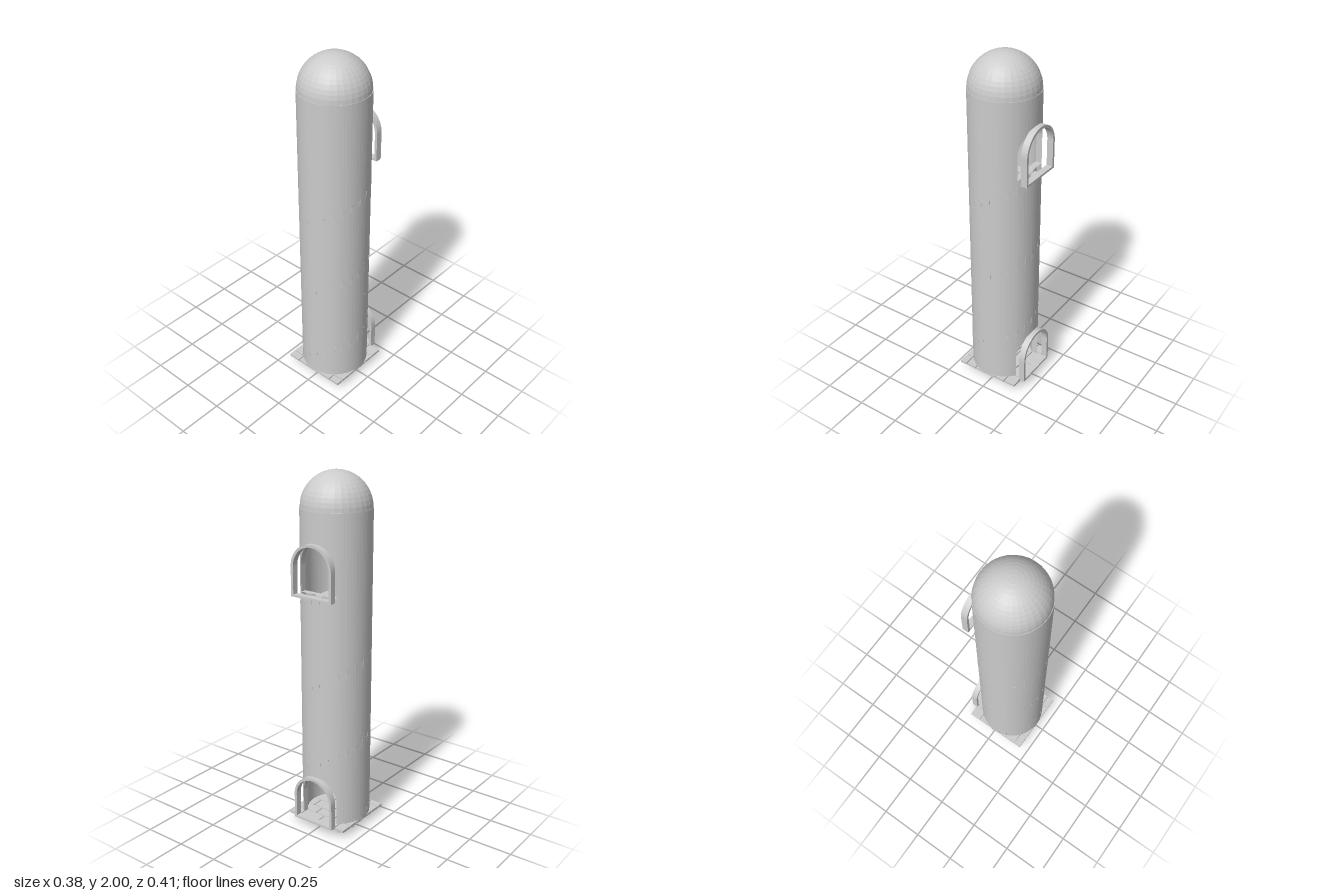
import * as THREE from 'three';

const CZ = 0.012;                 // tower axis
const R = 0.192, R_IN = 0.165;    // wall radii
const BASE = 0.045, SPRING = 1.81;
const HALF = 0.115, FRAME = 0.13; // doorway half width, frame half width
const DOORS = [{ sill: 0.05, spring: 0.2 }, { sill: 1.36, spring: 1.52 }];

const flat = new THREE.MeshStandardMaterial({ color: 0xcccccc, flatShading: true });
const flatDouble = new THREE.MeshStandardMaterial({ color: 0xcccccc, flatShading: true, side: THREE.DoubleSide });

function add(parent, name, geometry, material = flat) {
  const mesh = new THREE.Mesh(geometry, material);
  mesh.name = name;
  parent.add(mesh);
  return mesh;
}

// Collects quads given counter-clockwise from outside
function quadGeometry(quads) {
  const pos = [];
  for (const [a, b, c, d] of quads) pos.push(...a, ...b, ...c, ...a, ...c, ...d);
  const g = new THREE.BufferGeometry();
  g.setAttribute('position', new THREE.Float32BufferAttribute(pos, 3));
  g.computeVertexNormals();
  return g;
}

// Door columns spaced so the arch curve is even
const doorX = Array.from({ length: 17 }, (_, i) => -HALF * Math.cos((i / 16) * Math.PI));
const archTop = (door, x) => door.spring + Math.sqrt(Math.max(0, HALF * HALF - x * x));
const openingBottom = (i) => (i === 0 ? BASE : DOORS[1].sill + 0.012);
const onBack = (r, x, y) => [x, y, CZ - Math.sqrt(r * r - x * x)];

// Cylindrical wall with two arched openings at the back
function shell(r) {
  const quads = [];
  const a0 = Math.asin(HALF / r), n = 52;
  const at = (a, y) => [-r * Math.sin(a), y, CZ - r * Math.cos(a)];
  for (let i = 0; i < n; i++) {
    const a = a0 + ((2 * Math.PI - 2 * a0) * i) / n;
    const b = a0 + ((2 * Math.PI - 2 * a0) * (i + 1)) / n;
    quads.push([at(a, BASE), at(b, BASE), at(b, SPRING), at(a, SPRING)]);
  }
  for (let i = 0; i < 16; i++) {
    const x0 = doorX[i], x1 = doorX[i + 1];
    DOORS.forEach((door, k) => {
      const top = k === 0 ? openingBottom(1) : SPRING;
      quads.push([onBack(r, x1, archTop(door, x1)), onBack(r, x0, archTop(door, x0)),
        onBack(r, x0, top), onBack(r, x1, top)]);
    });
  }
  return quadGeometry(quads);
}

// Lining of an opening between the outer and inner wall faces
function reveal(door, k) {
  const bottom = openingBottom(k);
  const path = [[-HALF, bottom], ...doorX.map((x) => [x, archTop(door, x)]), [HALF, bottom]];
  if (k === 1) path.push([-HALF, bottom]);
  const quads = [];
  for (let i = 0; i + 1 < path.length; i++) {
    const [p, q] = [path[i], path[i + 1]];
    quads.push([onBack(R, ...p), onBack(R, ...q), onBack(R_IN, ...q), onBack(R_IN, ...p)]);
  }
  return quadGeometry(quads);
}

function archOutline(path, half, bottom, spring) {
  path.moveTo(-half, bottom);
  path.lineTo(half, bottom);
  path.lineTo(half, spring);
  path.absarc(0, spring, half, 0, Math.PI, false);
  path.lineTo(-half, bottom);
  return path;
}

export function createModel() {
  const model = new THREE.Group();
  model.name = 'tower';

  // Tower wall and dome
  add(model, 'outerWall', shell(R), flatDouble);
  add(model, 'innerWall', shell(R_IN), flatDouble);
  const dome = add(model, 'dome',
    new THREE.SphereGeometry(0.19, 32, 12, 0, Math.PI * 2, 0, Math.PI / 2), flatDouble);
  dome.position.set(0, SPRING, CZ);
  const rim = add(model, 'wallTop', new THREE.RingGeometry(R_IN, R, 64), flatDouble);
  rim.rotation.x = -Math.PI / 2;
  rim.position.set(0, SPRING, CZ);

  // Doorways: wall lining and projecting frame with a sill
  DOORS.forEach((door, k) => {
    add(model, 'doorLining', reveal(door, k), flatDouble);
    const shape = archOutline(new THREE.Shape(), FRAME, door.sill, door.spring);
    shape.holes.push(archOutline(new THREE.Path(), HALF, door.sill + 0.012, door.spring));
    const frame = add(model, 'doorFrame',
      new THREE.ExtrudeGeometry(shape, { depth: 0.036, bevelEnabled: false, curveSegments: 16 }));
    frame.position.z = -0.208;
  });

  // Spiral stair climbing from below the floor to the upper door
  const stairs = new THREE.Group();
  stairs.name = 'spiralStairs';
  stairs.position.z = CZ;
  model.add(stairs);
  const perTurn = 24, rise = 0.0194, inner = 0.05, outer = 0.1915;
  const stepGeometry = new THREE.BoxGeometry(0.05, 0.03, outer - inner);
  stepGeometry.translate(0, 0.015, -(inner + outer) / 2);
  for (let i = 0; i < 70; i++) {
    const step = add(stairs, 'step', stepGeometry);
    step.position.y = i * rise;
    step.rotation.y = 0.82 + (i * 2 * Math.PI) / perTurn;
  }

  // Floor slabs laid in staggered rows
  const floor = new THREE.Group();
  floor.name = 'floor';
  model.add(floor);
  const rows = [-0.181, -0.108, -0.047, 0.023, 0.094, 0.161, 0.205];
  const joints = [
    [-0.192, -0.129, -0.01, 0.117, 0.192],
    [-0.192, -0.07, 0.055, 0.192],
  ];
  const lastRow = [-0.192, -0.115, -0.046, 0.04, 0.125, 0.192];
  for (let r = 0; r < 6; r++) {
    const cuts = r === 5 ? lastRow : joints[r % 2];
    for (let c = 0; c + 1 < cuts.length; c++) {
      const slab = add(floor, 'floorSlab',
        new THREE.BoxGeometry(cuts[c + 1] - cuts[c] - 0.005, 0.014, rows[r + 1] - rows[r] - 0.005));
      slab.position.set((cuts[c] + cuts[c + 1]) / 2, 0.049, (rows[r] + rows[r + 1]) / 2);
    }
  }

  // Small slit blocks in the wall: height and direction (x, z)
  const slits = [[0.28, -1, -0.3], [0.57, 1, -0.2], [0.8, -1, 0.2], [1.02, 1, 0.25], [1.22, -1, -0.3], [1.45, 1, 0.95]];
  for (const [y, x, z] of slits) {
    const slit = add(model, 'wallSlit', new THREE.BoxGeometry(0.01, 0.03, 0.03));
    const a = Math.atan2(x, z);
    slit.position.set(0.178 * Math.sin(a), y, CZ + 0.178 * Math.cos(a));
    slit.rotation.y = a;
  }

  return model;
}
